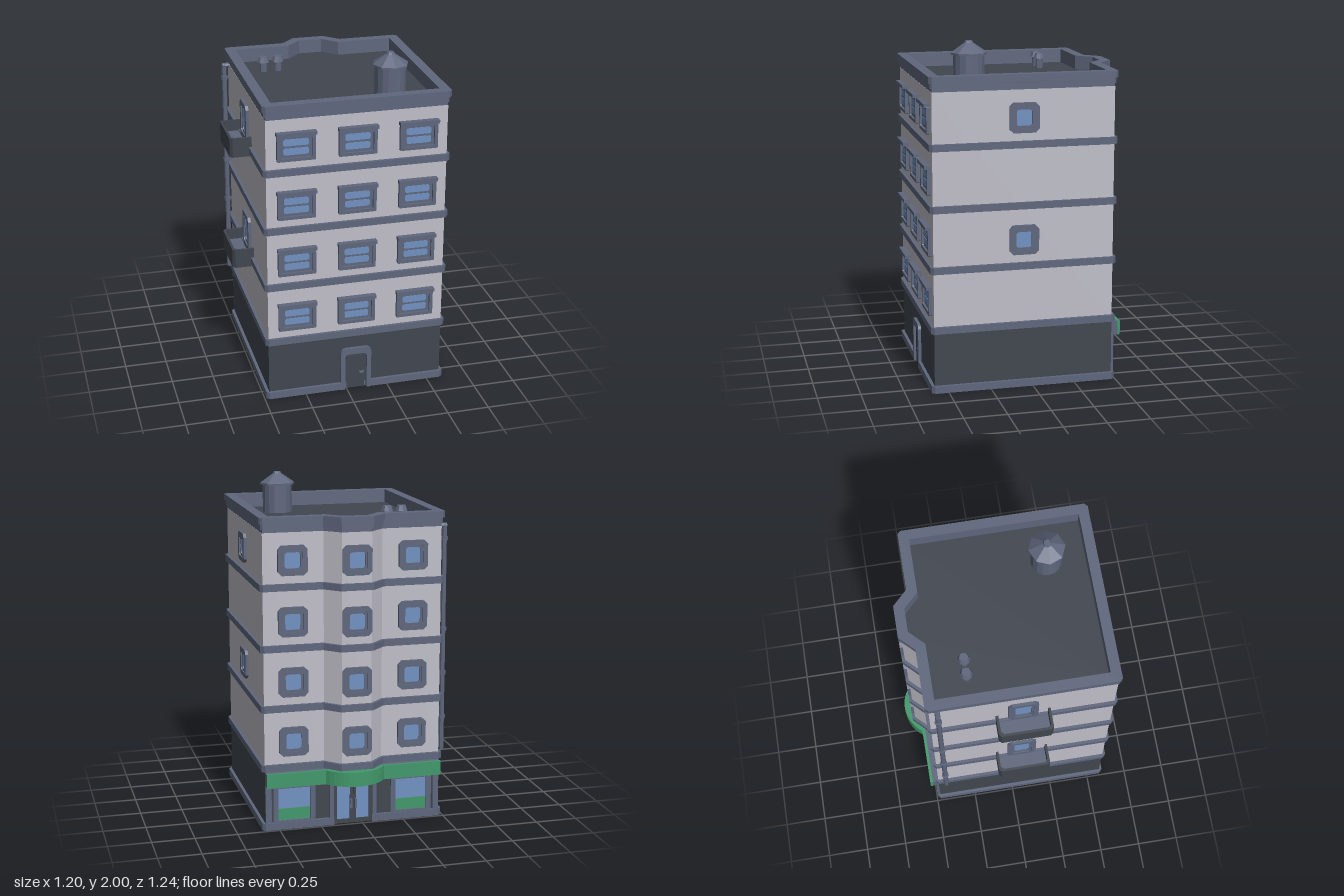
import * as THREE from 'three';

const mat = (name, color) => {
  const m = new THREE.MeshStandardMaterial({ color });
  m.name = name;
  return m;
};
const wall = mat('pale wall', 0xc0bfc9);
const trim = mat('slate trim', 0x5f677d);
const dark = mat('charcoal', 0x41464f);
const glass = mat('blue glass', 0x7192c2);
const green = mat('shop green', 0x42996c);

const CX = 0.055; // centre line of bay, doors and window columns
const FLOOR = 0.353;

function add(parent, name, geo, material, x = 0, y = 0, z = 0) {
  const m = new THREE.Mesh(geo, material);
  m.name = name;
  m.position.set(x, y, z);
  parent.add(m);
  return m;
}
const box = (p, name, m, w, h, d, x, y, z) => add(p, name, new THREE.BoxGeometry(w, h, d), m, x, y, z);
const faceted = (g) => { const f = g.toNonIndexed(); f.computeVertexNormals(); return f; };
const cyl = (p, name, m, rTop, rBottom, h, x, y, z, n = 8) =>
  add(p, name, faceted(new THREE.CylinderGeometry(rTop, rBottom, h, n)), m, x, y, z);

// Building footprint grown by d, as [x, z] points
function outline(d, chamfer = 0, bay = true) {
  const l = -0.472 - d, r = 0.582 + d, f = 0.582 + d, b = -0.477 - d, c = chamfer;
  const foot = 0.173 + d * 0.414, flat = 0.088 + d * 0.414;
  const pts = [[l, f - c], [l + c, f], [r - c, f], [r, f - c], [r, b + c], [r - c, b]];
  if (bay) pts.push([CX + foot, b], [CX + flat, b - 0.085], [CX - flat, b - 0.085], [CX - foot, b]);
  pts.push([l + c, b], [l, b + c]);
  return c ? pts : pts.filter((p, i) => i === 0 || p[0] !== pts[i - 1][0] || p[1] !== pts[i - 1][1])
    .filter((p, i, a) => i < a.length - 1 || p[0] !== a[0][0] || p[1] !== a[0][1]);
}
const toPoints = (pts) => pts.map(([x, z]) => new THREE.Vector2(x, -z));

// Vertical prism from a plan outline
function prism(pts, y0, y1, hole) {
  const s = new THREE.Shape(toPoints(pts));
  if (hole) s.holes.push(new THREE.Path(toPoints(hole)));
  const g = new THREE.ExtrudeGeometry(s, { depth: y1 - y0, bevelEnabled: false });
  return g.rotateX(-Math.PI / 2).translate(0, y0, 0);
}

// Rectangle with cut corners, centred on the origin
function octagon(w, h, c) {
  const a = w / 2, b = h / 2;
  return [[-a + c, -b], [a - c, -b], [a, -b + c], [a, b - c], [a - c, b], [-a + c, b], [-a, b - c], [-a, -b + c]]
    .map(([x, y]) => new THREE.Vector2(x, y));
}
function frame(w, h, c, hw, hh, hc, depth) {
  const s = new THREE.Shape(octagon(w, h, c));
  s.holes.push(new THREE.Path(octagon(hw, hh, hc)));
  return new THREE.ExtrudeGeometry(s, { depth, bevelEnabled: false });
}
const plate = (w, h, c, depth) =>
  new THREE.ExtrudeGeometry(new THREE.Shape(octagon(w, h, c)), { depth, bevelEnabled: false });

// Group on a wall whose local +z points outwards
function onWall(parent, name, x, y, z, angle) {
  const g = new THREE.Group();
  g.name = name;
  g.position.set(x, y, z);
  g.rotation.y = angle;
  parent.add(g);
  return g;
}

function squareWindow(parent, name, x, y, z, angle, h = 0.172) {
  const g = onWall(parent, name, x, y, z, angle);
  add(g, 'outerFrame', frame(0.172, h, 0.022, 0.118, h - 0.054, 0.012, 0.018), trim);
  add(g, 'innerFrame', frame(0.118, h - 0.054, 0.012, 0.09, h - 0.08, 0.01, 0.01), trim);
  add(g, 'pane', plate(0.094, h - 0.076, 0.01, 0.004), glass);
}

function wideWindow(parent, x, y) {
  const g = onWall(parent, 'frontWindow', x, y, 0.582, 0);
  add(g, 'outerFrame', frame(0.222, 0.155, 0.004, 0.182, 0.118, 0.004, 0.019), trim, 0, -0.008);
  add(g, 'sash', plate(0.182, 0.118, 0.004, 0.006), trim, 0, -0.008);
  for (const s of [-1, 1]) add(g, 'pane', plate(0.146, 0.04, 0.008, 0.004), glass, 0, s * 0.0265 - 0.004, 0.005);
  box(g, 'hood', trim, 0.23, 0.02, 0.035, 0, 0.077, 0.0175);
}

function balcony(parent, y) {
  const g = onWall(parent, 'balcony', 0, y, 0, 0);
  const plan = (t) => {
    const x = -0.6 + t, a = -0.105 + t, b = 0.21 - t, c = 0.016;
    return [[-0.47, a], [x + c, a], [x, a + c], [x, b - c], [x + c, b], [-0.47, b]];
  };
  const outer = plan(0), inner = plan(0.015).reverse();
  add(g, 'railing', prism([...outer, ...inner], 0, 0.115), dark);
  add(g, 'balconyFloor', prism(plan(0.014), 0.003, 0.05), trim);
  squareWindow(g, 'balconyDoor', -0.472, 0.165, 0.052, -Math.PI / 2, 0.22);
}

function shopFront(parent) {
  const g = onWall(parent, 'shopFront', CX, 0, -0.477, Math.PI);
  for (const s of [-1, 1]) {
    const x = s * 0.355;
    add(g, 'shopWindowFrame', frame(0.25, 0.235, 0, 0.19, 0.195, 0, 0.013), trim, x, 0.153, 0);
    box(g, 'shopWindowPane', glass, 0.19, 0.195, 0.004, x, 0.153, 0.002);
    box(g, 'greenPanel', green, 0.188, 0.07, 0.004, x, 0.092, 0.005);
    box(g, 'cornerPillar', trim, 0.035, 0.27, 0.014, s * 0.508, 0.135, 0.007);
    box(g, 'doorPost', trim, 0.025, 0.27, 0.014, s * 0.13, 0.135, 0.007);
    // double door leaf
    add(g, 'doorLeaf', frame(0.114, 0.25, 0, 0.078, 0.21, 0, 0.009), dark, s * 0.058, 0.135, 0);
    box(g, 'doorPane', glass, 0.08, 0.212, 0.004, s * 0.058, 0.135, 0.002);
    box(g, 'doorHandle', trim, 0.014, 0.055, 0.022, s * 0.014, 0.125, 0.012);
  }
  // Awning: straight wings with a bowed centre
  box(parent, 'awningBacking', trim, 1.05, 0.08, 0.04, CX, 0.313, -0.497);
  const pts = [[-0.47, -0.512], [-0.47, -0.53]];
  for (let i = 0; i <= 14; i++) {
    const a = -0.95 + (1.9 * i) / 14;
    pts.push([CX + 0.215 * Math.sin(a), -0.405 - 0.215 * Math.cos(a)]);
  }
  pts.push([0.58, -0.53], [0.58, -0.512]);
  add(parent, 'awning', prism(pts, 0.27, 0.355), green);
}

function frontDoor(parent) {
  const g = onWall(parent, 'frontDoor', CX, 0, 0.582, 0);
  const arch = (w, h, c) => [[-w, 0], [w, 0], [w, h - c], [w - c * 0.3, h - c * 0.3], [w - c, h],
    [-w + c, h], [-w + c * 0.3, h - c * 0.3], [-w, h - c]].map(([x, y]) => new THREE.Vector2(x, y));
  const o = arch(0.093, 0.275, 0.028), i = arch(0.066, 0.235, 0.018);
  // open-bottomed surround
  const s = new THREE.Shape([...o.slice(1), o[0], i[0], ...i.slice(1).reverse()]);
  add(g, 'doorSurround', new THREE.ExtrudeGeometry(s, { depth: 0.018, bevelEnabled: false }), trim);
  box(g, 'doorPanel', dark, 0.11, 0.21, 0.006, 0, 0.112, 0.003);
  box(g, 'doorHandle', trim, 0.03, 0.01, 0.014, 0.036, 0.105, 0.01);
}

export function createModel() {
  const model = new THREE.Group();
  model.name = 'apartmentBlock';

  // Main masses
  add(model, 'groundFloor', prism(outline(0, 0, false), 0, 0.37), dark);
  add(model, 'upperWalls', prism(outline(0), 0.37, 1.75), wall);
  add(model, 'roofDeck', prism(outline(-0.03), 1.74, 1.756), dark);

  // Plinth, cut away at both doors
  const p = outline(0.018, 0.018, false);
  const cut = (z, zi, w) => [[CX - w, z], [CX - w, zi], [CX + w, zi], [CX + w, z]];
  p.splice(6, 0, ...cut(-0.495, -0.477, 0.115).reverse());
  p.splice(2, 0, ...cut(0.6, 0.582, 0.066));
  add(model, 'plinth', prism(p, 0.002, 0.045), trim);

  // Floor bands and parapet
  for (let i = 0; i < 4; i++) {
    const y = 0.358 + i * 0.3535;
    add(model, 'floorBand', prism(outline(0.018, 0.018), y, y + 0.04), trim);
  }
  add(model, 'parapetBase', prism(outline(0.008, 0.012), 1.768, 1.8, outline(-0.042)), trim);
  add(model, 'parapet', prism(outline(0.018, 0.018), 1.8, 1.838, outline(-0.042)), trim);
  add(model, 'parapetInner', prism(outline(-0.001), 1.745, 1.768, outline(-0.042)), trim);

  // Windows
  for (let f = 0; f < 4; f++) {
    const y = 0.532 + f * FLOOR;
    for (let c = -1; c <= 1; c++) {
      wideWindow(model, CX + c * 0.355, y);
      squareWindow(model, 'backWindow', CX + c * 0.355, y, c ? -0.477 : -0.562, Math.PI);
    }
    if (f % 2) {
      squareWindow(model, 'sideWindow', 0.582, y, CX, Math.PI / 2);
      balcony(model, y - 0.19);
    }
  }

  frontDoor(model);
  shopFront(model);

  // Drainpipe
  cyl(model, 'drainpipe', trim, 0.015, 0.015, 1.355, -0.505, 1.0775, -0.43);
  cyl(model, 'drainpipeElbow', trim, 0.015, 0.015, 0.06, -0.487, 1.748, -0.43).rotation.z = Math.PI / 2;
  for (const y of [0.6, 0.87, 1.135, 1.67]) {
    cyl(model, 'pipeClamp', trim, 0.021, 0.021, 0.022, -0.505, y, -0.43);
    box(model, 'pipeBracket', trim, 0.035, 0.012, 0.012, -0.485, y, -0.43);
  }

  // Rooftop tank and vents
  cyl(model, 'tank', trim, 0.09, 0.09, 0.17, 0.32, 1.84, 0.315, 16);
  cyl(model, 'tankRim', trim, 0.105, 0.105, 0.012, 0.32, 1.928, 0.315);
  cyl(model, 'tankRoof', trim, 0.026, 0.105, 0.054, 0.32, 1.961, 0.315);
  cyl(model, 'tankCap', trim, 0.02, 0.026, 0.012, 0.32, 1.994, 0.315);
  for (const x of [-0.302, -0.215]) {
    cyl(model, 'ventPipe', trim, 0.024, 0.024, 0.06, x, 1.785, -0.24);
    cyl(model, 'ventCap', trim, 0.026, 0.037, 0.032, x, 1.83, -0.24);
  }
  return model;
}
